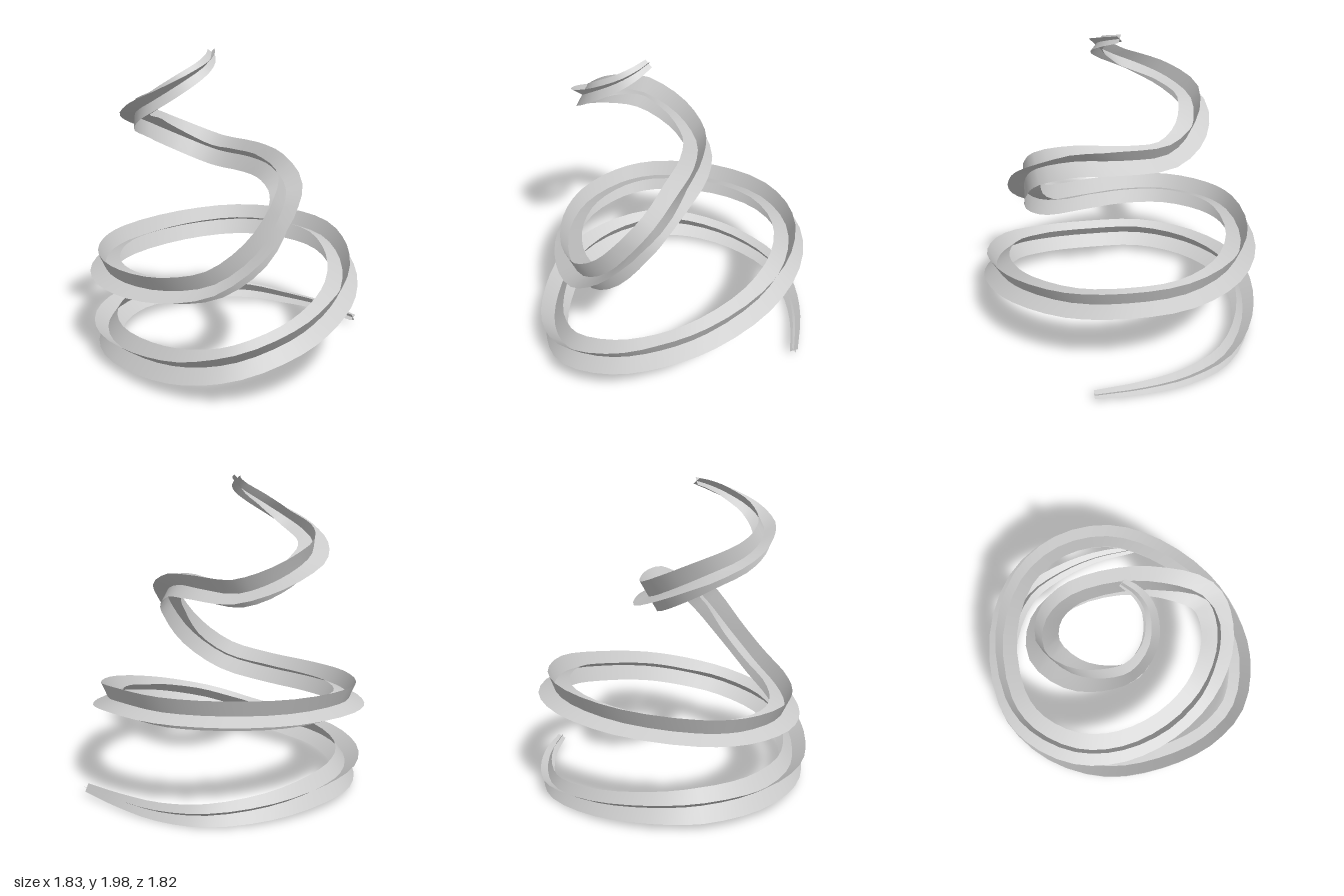
import * as THREE from 'three';

// Centre line of the spiral, from the low tail at the back to the tip
const path = [
  [0.6, 0.06, -0.74], [0.3, 0.065, -0.83], [0, 0.06, -0.86], [-0.3, 0.075, -0.81],
  [-0.59, 0.1, -0.58], [-0.77, 0.13, -0.27], [-0.82, 0.145, 0.02], [-0.71, 0.145, 0.37],
  [-0.45, 0.15, 0.65], [-0.1, 0.16, 0.79], [0.25, 0.2, 0.83], [0.54, 0.27, 0.75],
  [0.75, 0.36, 0.49], [0.815, 0.435, 0.2], [0.785, 0.505, -0.1], [0.61, 0.58, -0.46],
  [0.35, 0.645, -0.7], [0, 0.66, -0.8], [-0.35, 0.66, -0.71], [-0.65, 0.635, -0.42],
  [-0.81, 0.605, 0], [-0.78, 0.585, 0.26], [-0.6, 0.57, 0.52], [-0.33, 0.565, 0.66],
  [0, 0.585, 0.69], [0.3, 0.66, 0.62], [0.5, 0.84, 0.48], [0.57, 1.05, 0.32],
  [0.54, 1.18, 0.19], [0.35, 1.265, 0.02], [0.1, 1.28, -0.13], [-0.2, 1.285, -0.2],
  [-0.42, 1.37, -0.11], [-0.54, 1.485, 0.1], [-0.48, 1.565, 0.33], [-0.34, 1.635, 0.47],
  [-0.2, 1.7, 0.525], [-0.05, 1.8, 0.47], [0.03, 1.89, 0.33], [0.02, 1.94, 0.22],
  [-0.03, 1.973, 0.13],
];
// [path index, value] keys for arm length and for tilt in degrees
const armKeys = [[0, 0.028], [2, 0.055], [6, 0.108], [33, 0.108], [36, 0.078], [38, 0.05], [40, 0.03]];
const tiltKeys = [
  [0, -60], [10, -53], [13, -27], [17, -20], [20, -22], [24, -27], [25, -20], [27, 8],
  [28, 27], [29, 48], [30, 59], [31, 62], [33, 73], [34, 90], [35, 108], [36, 122], [40, 140],
];

function valueAt(keys, i) {
  for (let k = 1; k < keys.length; k++) {
    const [a, va] = keys[k - 1], [b, vb] = keys[k];
    if (i <= b) return THREE.MathUtils.mapLinear(i, a, b, va, vb);
  }
  return keys[keys.length - 1][1];
}

// One thin ribbon swept along the path, turned about it by the given angle
function ribbon(curve, turn) {
  const last = path.length - 1, steps = last * 3;
  const up = new THREE.Vector3(0, 1, 0);
  const positions = [], index = [];
  for (let s = 0; s <= steps; s++) {
    const t = s / steps, i = t * last;
    const p = curve.getPoint(t), tangent = curve.getTangent(t);
    const outward = tangent.clone().cross(up).normalize();
    const upward = outward.clone().cross(tangent);
    const angle = THREE.MathUtils.degToRad(valueAt(tiltKeys, i) + turn);
    const arm = outward.multiplyScalar(Math.cos(angle)).addScaledVector(upward, Math.sin(angle));
    const r = valueAt(armKeys, i);
    for (const side of [-1, 0, 1]) positions.push(...p.clone().addScaledVector(arm, side * r).toArray());
    if (s === steps) continue;
    for (const c of [0, 1]) {
      const a = s * 3 + c;
      index.push(a, a + 3, a + 1, a + 1, a + 3, a + 4);
    }
  }
  const geometry = new THREE.BufferGeometry();
  geometry.setAttribute('position', new THREE.Float32BufferAttribute(positions, 3));
  geometry.setIndex(index);
  geometry.computeVertexNormals();
  return geometry;
}

export function createModel() {
  const group = new THREE.Group();
  group.name = 'spiral';
  const material = new THREE.MeshStandardMaterial({ color: 0xcccccc, side: THREE.DoubleSide });
  const curve = new THREE.CatmullRomCurve3(path.map(p => new THREE.Vector3(...p)));

  // Two crossed ribbons give the spiral its plus-shaped section
  for (const [name, turn] of [['flatRibbon', 0], ['uprightRibbon', 90]]) {
    const mesh = new THREE.Mesh(ribbon(curve, turn), material);
    mesh.name = name;
    group.add(mesh);
  }
  return group;
}
